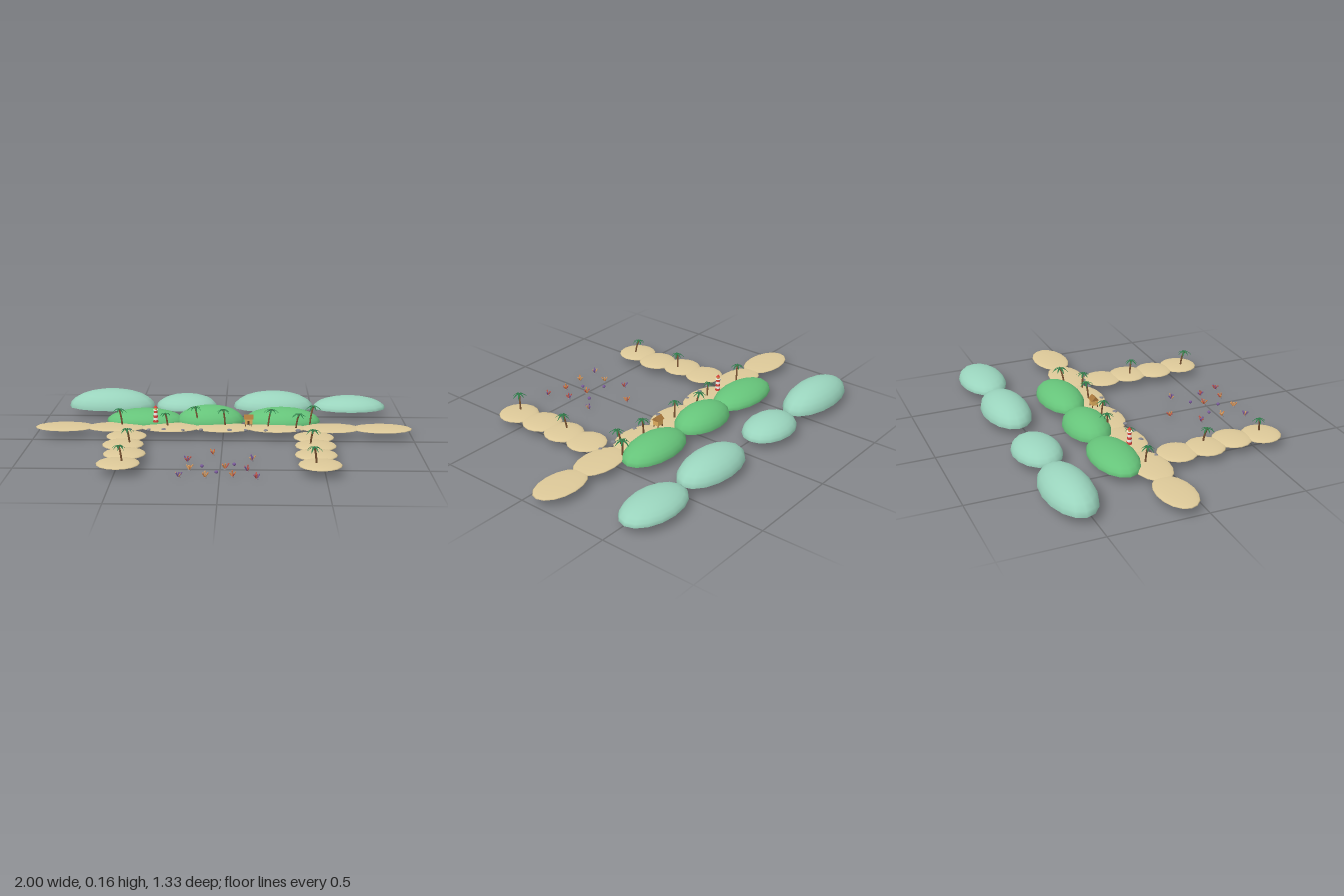
import * as THREE from 'three';

const GROUND = 0.045;
const mat = (color, extra = {}) => new THREE.MeshStandardMaterial({ color, ...extra });
const M = {
  sand: mat(0xdcc898, { side: THREE.DoubleSide }),
  nearHill: mat(0x66c47a, { side: THREE.DoubleSide }),
  farHill: mat(0x9ad4bd, { side: THREE.DoubleSide }),
  trunk: mat(0x7a5433),
  frond: mat(0x2c7a48, { side: THREE.DoubleSide }),
  white: mat(0xf4f0e8),
  red: mat(0xd8433c),
  wall: mat(0xdcaa5c),
  roof: mat(0xa8773c),
  door: mat(0x5c3d22),
  rock: mat(0x85858c, { flatShading: true }),
  corals: [0xd98a4e, 0xc4584f, 0x7a5a9c, 0xd9a066].map(c => mat(c)),
};

function add(parent, name, geometry, material, x = 0, y = 0, z = 0) {
  const mesh = new THREE.Mesh(geometry, material);
  mesh.name = name;
  mesh.position.set(x, y, z);
  parent.add(mesh);
  return mesh;
}

function group(parent, name, x = 0, y = 0, z = 0) {
  const g = new THREE.Group();
  g.name = name;
  g.position.set(x, y, z);
  parent.add(g);
  return g;
}

// Half ellipsoid, open underneath
const domeGeo = new THREE.SphereGeometry(1, 16, 6, 0, Math.PI * 2, 0, Math.PI / 2);
function dome(parent, name, material, x, z, rx, h, rz) {
  add(parent, name, domeGeo, material, x, GROUND, z).scale.set(rx, h, rz);
}

// Drooping leaf: a strip tapered at both ends, folded along its middle
function frondGeometry() {
  const g = new THREE.PlaneGeometry(1, 1, 4, 2).rotateX(-Math.PI / 2);
  const p = g.attributes.position;
  for (let i = 0; i < p.count; i++) {
    const t = p.getX(i) + 0.5, s = p.getZ(i) * 2;
    const w = 0.13 * Math.sin(Math.PI * (0.12 + 0.86 * t));
    p.setXYZ(i, t, 0.35 * t - 0.8 * t * t - 0.05 * Math.abs(s), s * w);
  }
  g.computeVertexNormals();
  return g;
}
const frondGeo = frondGeometry();

// Palm with its crown at (x, z) and the trunk leaning by (leanX, leanZ)
function palm(parent, x, z, top, leanX, leanZ, size, turn) {
  const base = 0.05, h = top - base;
  const g = group(parent, 'palm', x - leanX, base, z - leanZ);
  const curve = new THREE.QuadraticBezierCurve3(
    new THREE.Vector3(0, 0, 0),
    new THREE.Vector3(leanX * 0.2, h * 0.55, leanZ * 0.2),
    new THREE.Vector3(leanX, h, leanZ));
  add(g, 'trunk', new THREE.TubeGeometry(curve, 5, 0.0048, 6), M.trunk);
  const crown = group(g, 'crown', leanX, h, leanZ);
  for (let i = 0; i < 7; i++) {
    const f = add(crown, 'frond', frondGeo, M.frond);
    f.scale.setScalar(size * (i % 2 ? 0.9 : 1.05));
    f.rotation.y = turn + i * Math.PI * 2 / 7;
  }
  for (let i = 0; i < 3; i++) {
    const a = turn + i * 2.1;
    add(crown, 'coconut', new THREE.SphereGeometry(0.004, 6, 5), M.trunk,
      Math.cos(a) * 0.005, -0.004, Math.sin(a) * 0.005);
  }
}

function lighthouse(parent, x, y, z) {
  const g = group(parent, 'lighthouse', x, y, z);
  const n = 5, h = 0.065, r = t => 0.014 - 0.005 * t;
  for (let i = 0; i < n; i++) {
    add(g, 'towerBand', new THREE.CylinderGeometry(r((i + 1) / n), r(i / n), h / n, 12),
      i % 2 ? M.white : M.red, 0, (i + 0.5) * h / n);
  }
  add(g, 'gallery', new THREE.CylinderGeometry(0.013, 0.013, 0.003, 12), M.white, 0, h + 0.0015);
  add(g, 'lantern', new THREE.CylinderGeometry(0.007, 0.007, 0.011, 10), M.wall, 0, h + 0.0085);
  add(g, 'cap', new THREE.ConeGeometry(0.011, 0.014, 12), M.red, 0, h + 0.021);
}

function hut(parent, x, y, z) {
  const g = group(parent, 'hut', x, y, z);
  for (const sx of [-1, 1]) for (const sz of [-1, 1]) {
    add(g, 'post', new THREE.BoxGeometry(0.004, 0.014, 0.004), M.trunk, sx * 0.017, 0.005, sz * 0.014);
  }
  add(g, 'walls', new THREE.BoxGeometry(0.04, 0.03, 0.034), M.wall, 0, 0.025, 0);
  add(g, 'door', new THREE.BoxGeometry(0.01, 0.019, 0.002), M.door, 0, 0.02, 0.0175);
  // Gable roof, ridge running side to side
  const tri = new THREE.Shape([[-0.022, 0], [0.022, 0], [0, 0.022]].map(p => new THREE.Vector2(...p)));
  const roof = new THREE.ExtrudeGeometry(tri, { depth: 0.05, bevelEnabled: false });
  roof.translate(0, 0, -0.025).rotateY(Math.PI / 2);
  add(g, 'roof', roof, M.roof, 0, 0.038, 0);
}

function coral(parent, x, z, k) {
  const g = group(parent, 'coral', x, 0, z);
  g.rotation.y = k * 1.3;
  const foot = add(g, 'coralFoot', new THREE.SphereGeometry(0.009, 7, 3, 0, Math.PI * 2, 0, Math.PI / 2), M.rock);
  foot.scale.y = 0.7;
  for (let i = 0; i < 5; i++) {
    const h = 0.021 + 0.004 * ((i + k) % 3);
    const pivot = group(g, 'branch', 0, 0.003, 0);
    pivot.rotation.set(0, i * Math.PI * 0.4, i ? -0.6 : -0.1);
    const material = M.corals[(i % 2 ? k + 1 : k) % 4];
    add(pivot, 'stem', new THREE.CylinderGeometry(0.0035, 0.0025, h, 6), material, 0, h / 2);
    add(pivot, 'tip', new THREE.SphereGeometry(0.0042, 6, 4), material, 0, h);
  }
}

export function createModel() {
  const model = new THREE.Group();
  model.name = 'tropicalCoast';

  // Beach strip and the two sand spits
  const beach = group(model, 'beach');
  [-0.84, -0.57, -0.28, 0, 0.28, 0.57, 0.84].forEach(x =>
    dome(beach, 'beachMound', M.sand, x, -0.095, 0.16, 0.011, 0.096));
  const spits = group(model, 'sandSpits');
  [[-0.495, 0.47, 0.08, 0.012], [-0.495, 0.472, 0.235, 0.015],
    [-0.47, 0.465, 0.395, 0.016], [-0.483, 0.475, 0.555, 0.014]].forEach(([l, r, z, h]) =>
    [l, r].forEach(x => dome(spits, 'spitMound', M.sand, x, z, 0.105, h, 0.102)));

  // Hills: x, half width, height
  const hills = group(model, 'hills');
  [[-0.425, 0.21, 0.067], [-0.072, 0.183, 0.089], [0.313, 0.208, 0.078]].forEach(([x, rx, h]) =>
    dome(hills, 'nearHill', M.nearHill, x, -0.228, rx, h, 0.117));
  [[-0.645, 0.245, 0.102], [-0.218, 0.173, 0.074], [0.275, 0.225, 0.093], [0.705, 0.205, 0.067]]
    .forEach(([x, rx, h]) => dome(hills, 'farHill', M.farHill, x, -0.547, rx, h, 0.123));

  // Palms: x, z, top, lean x, lean z, frond length
  const palms = group(model, 'palms');
  [[-0.553, -0.104, 0.142, -0.014, 0.006, 0.036], [-0.307, -0.088, 0.124, -0.012, 0.005, 0.031],
    [-0.152, -0.147, 0.145, -0.016, -0.01, 0.038], [0, -0.104, 0.142, -0.01, 0.008, 0.035],
    [0.254, -0.1, 0.144, 0.016, -0.006, 0.038], [0.4, -0.06, 0.132, 0.015, 0.012, 0.037],
    [0.48, -0.165, 0.148, 0.018, -0.016, 0.042], [-0.473, 0.254, 0.132, -0.012, 0.015, 0.036],
    [-0.478, 0.543, 0.13, -0.014, -0.012, 0.033], [0.457, 0.254, 0.133, 0.012, 0.015, 0.036],
    [0.444, 0.58, 0.14, -0.012, 0.016, 0.038],
  ].forEach(([x, z, top, lx, lz, s], i) => palm(palms, x, z, top, lx, lz, s, i * 0.7));

  lighthouse(model, -0.36, 0.068, -0.115);
  hut(model, 0.135, 0.056, -0.104);

  // Rocks along the shoreline
  const rocks = group(model, 'rocks');
  [-0.49, -0.39, -0.31, -0.21, -0.115, 0.035, 0.12, 0.225, 0.395, 0.485].forEach((x, i) => {
    const r = add(rocks, 'rock', new THREE.DodecahedronGeometry(0.011 + 0.002 * (i % 3)), M.rock,
      x, 0.05, -0.03 + 0.006 * (i % 2));
    r.scale.y = 0.6;
    r.rotation.y = i * 1.1;
  });

  // Reef between the spits
  const reef = group(model, 'reef');
  [[-0.04, 0.26], [-0.163, 0.382], [0.152, 0.361], [-0.147, 0.516], [0.024, 0.495], [0.131, 0.527],
    [-0.19, 0.628], [-0.067, 0.628], [0.061, 0.617], [0.174, 0.644]].forEach(([x, z], k) => coral(reef, x, z, k));
  [[0.067, 0.436], [-0.088, 0.468], [-0.016, 0.561]].forEach(([x, z]) => {
    const s = add(reef, 'roundCoral', new THREE.SphereGeometry(0.009, 8, 6), M.corals[2], x, 0.0085, z);
    s.scale.y = 0.9;
  });
  return model;
}
